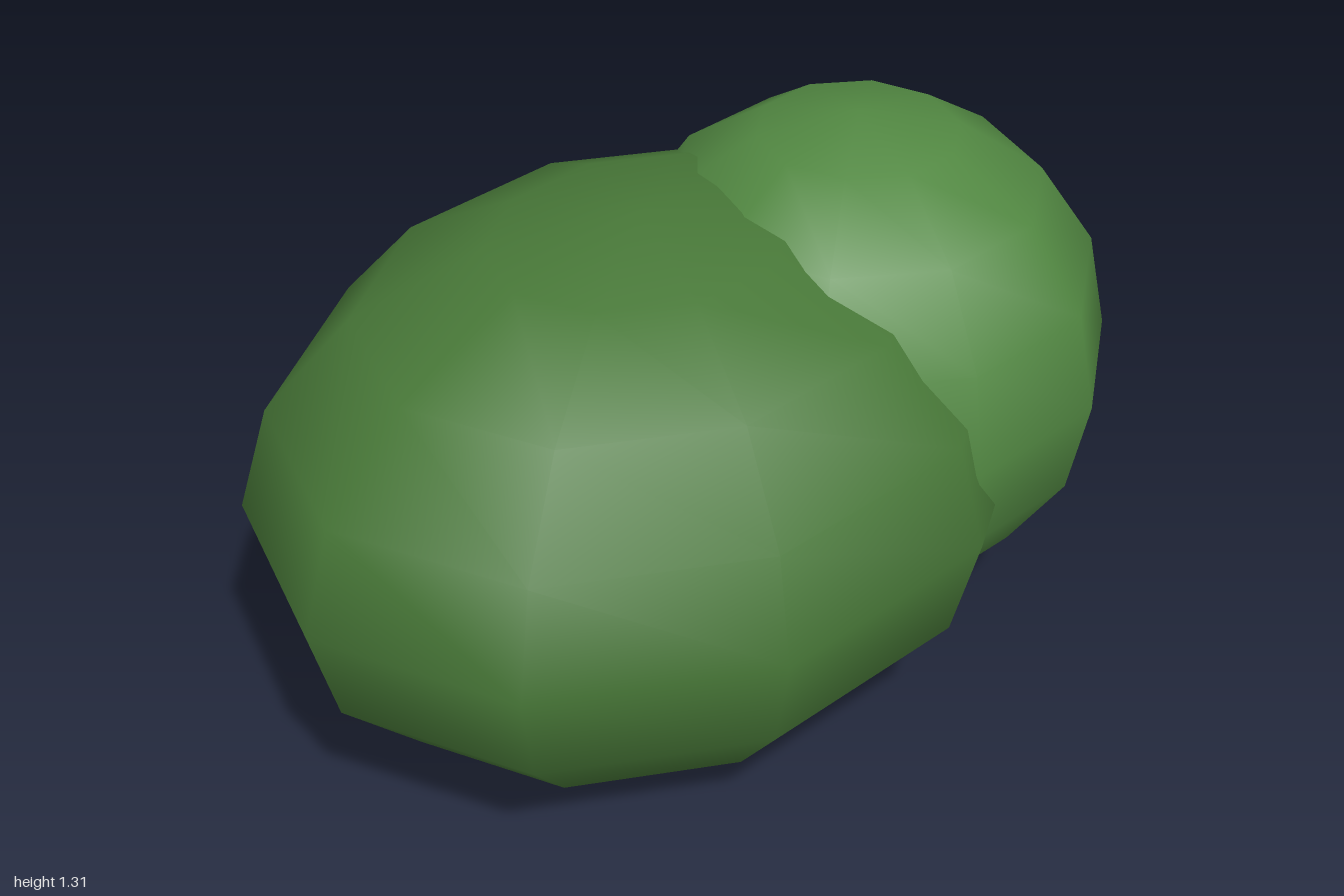
import * as THREE from 'three';

// One smooth-shaded, low-poly clump of foliage
function clump(name, color, radii, position) {
  const mesh = new THREE.Mesh(
    new THREE.SphereGeometry(1, 10, 8),
    new THREE.MeshStandardMaterial({ color })
  );
  mesh.name = name;
  mesh.scale.set(...radii);
  mesh.position.set(...position);
  return mesh;
}

export function createModel() {
  const bush = new THREE.Group();
  bush.name = 'bush';
  // Wide main clump resting on the ground
  bush.add(clump('mainFoliage', 0x487838, [0.917, 0.611, 0.763], [-0.083, 0.611, 0]));
  // Smaller, lighter round clump, raised and set forward on the left
  bush.add(clump('sideFoliage', 0x528842, [0.573, 0.573, 0.573], [0.427, 0.74, 0.125]));
  return bush;
}
